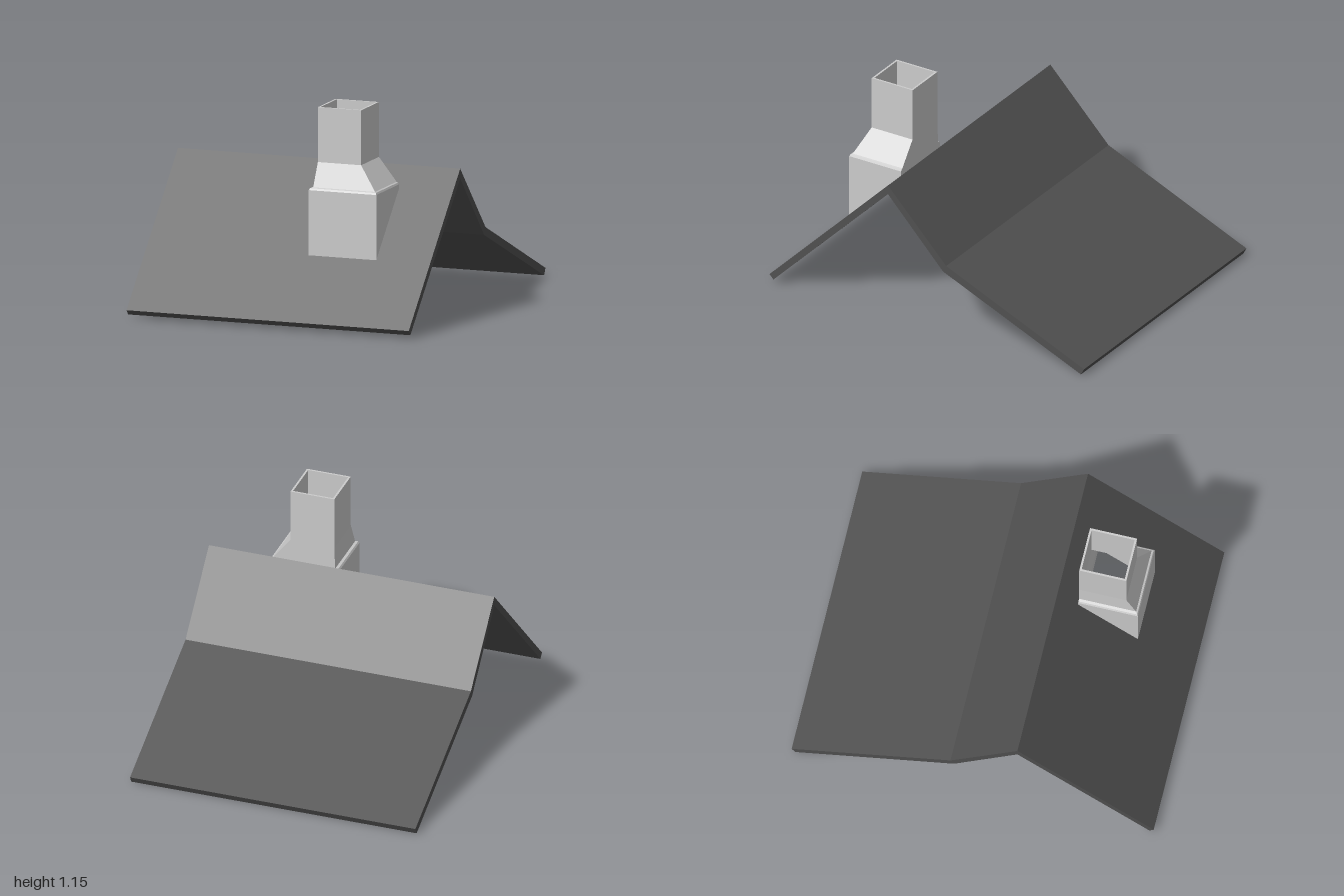
import * as THREE from 'three';

const HALF = 0.815; // half length of the ridge
const FLUE = { x0: 0.115, x1: 0.505, z0: 0.36, z1: 0.69 }; // chimney footprint
const RIDGE_Z = 0.247;

const mix = THREE.MathUtils.mapLinear;
const upperY = z => mix(z, RIDGE_Z, 1, 0.8, 0.045);
const lowerY = z => mix(z, RIDGE_Z, 0.976, 0.747, 0.018);

function rectPoints(x0, x1, z0, z1) {
  return [[x0, z1], [x1, z1], [x1, z0], [x0, z0]];
}

// Front slope: a flat plan with the chimney opening, lifted onto the pitch
function frontSlope() {
  const toVec = ([x, z]) => new THREE.Vector2(x, -z);
  const plan = new THREE.Shape(rectPoints(-HALF, HALF, RIDGE_Z, 1).map(toVec));
  plan.holes.push(new THREE.Path(rectPoints(FLUE.x0, FLUE.x1, FLUE.z0, FLUE.z1).map(toVec)));
  const geo = new THREE.ExtrudeGeometry(plan, { depth: 1, bevelEnabled: false });
  geo.rotateX(-Math.PI / 2);
  const p = geo.attributes.position;
  for (let i = 0; i < p.count; i++) {
    const top = p.getY(i) > 0.5;
    if (!top && p.getZ(i) > 0.99) p.setZ(i, 0.976); // square-cut eave
    p.setY(i, top ? upperY(p.getZ(i)) : lowerY(p.getZ(i)));
  }
  geo.computeVertexNormals();
  return geo;
}

// Rear slope: kinked profile swept along the ridge
function rearSlope() {
  const profile = new THREE.Shape([
    [RIDGE_Z, 0.8], [-0.123, 0.415], [-1, 0.037],
    [-0.98, 0], [-0.103, 0.376], [RIDGE_Z, 0.747],
  ].map(([z, y]) => new THREE.Vector2(z, y)));
  const geo = new THREE.ExtrudeGeometry(profile, { depth: 2 * HALF, bevelEnabled: false });
  return geo.translate(0, 0, -HALF).rotateY(-Math.PI / 2);
}

// Skin a closed series of rectangular rings with flat quads
function loftRings(rings) {
  const loops = rings.map(([x0, x1, z0, z1, y]) =>
    rectPoints(x0, x1, z0, z1).map(([x, z]) => [x, typeof y === 'function' ? y(z) : y, z]));
  const pos = [];
  loops.forEach((a, r) => {
    const b = loops[(r + 1) % loops.length];
    for (let i = 0; i < 4; i++) {
      const j = (i + 1) % 4;
      pos.push(...a[i], ...a[j], ...b[j], ...a[i], ...b[j], ...b[i]);
    }
  });
  const geo = new THREE.BufferGeometry();
  geo.setAttribute('position', new THREE.Float32BufferAttribute(pos, 3));
  geo.computeVertexNormals();
  return geo;
}

export function createModel() {
  const model = new THREE.Group();
  const slate = new THREE.MeshStandardMaterial({ color: 0x505050 });
  const grey = new THREE.MeshStandardMaterial({ color: 0xcccccc });
  const add = (name, geo, material) => {
    const mesh = new THREE.Mesh(geo, material);
    mesh.name = name;
    model.add(mesh);
  };

  add('frontRoofSlope', frontSlope(), slate);
  add('rearRoofSlope', rearSlope(), slate);

  // Hollow chimney: up the outside, over the rim and down the inside
  const { x0, x1, z0, z1 } = FLUE;
  add('chimney', loftRings([
    [x0, x1, z0, z1, lowerY],
    [x0, x1, z0, z1, 0.712],
    [0.121, 0.5, z0, 0.685, 0.722],
    [0.135, 0.492, z0, 0.675, 0.726],
    [0.14, 0.39, z0, 0.62, 0.855],
    [0.14, 0.39, z0, 0.62, 1.155],
    [0.151, 0.379, 0.371, 0.609, 1.155],
    [0.151, 0.379, 0.371, 0.609, 0.85],
    [0.14, 0.48, 0.386, 0.665, 0.71],
    [0.14, 0.48, 0.386, 0.665, lowerY],
  ]), grey);

  return model;
}
